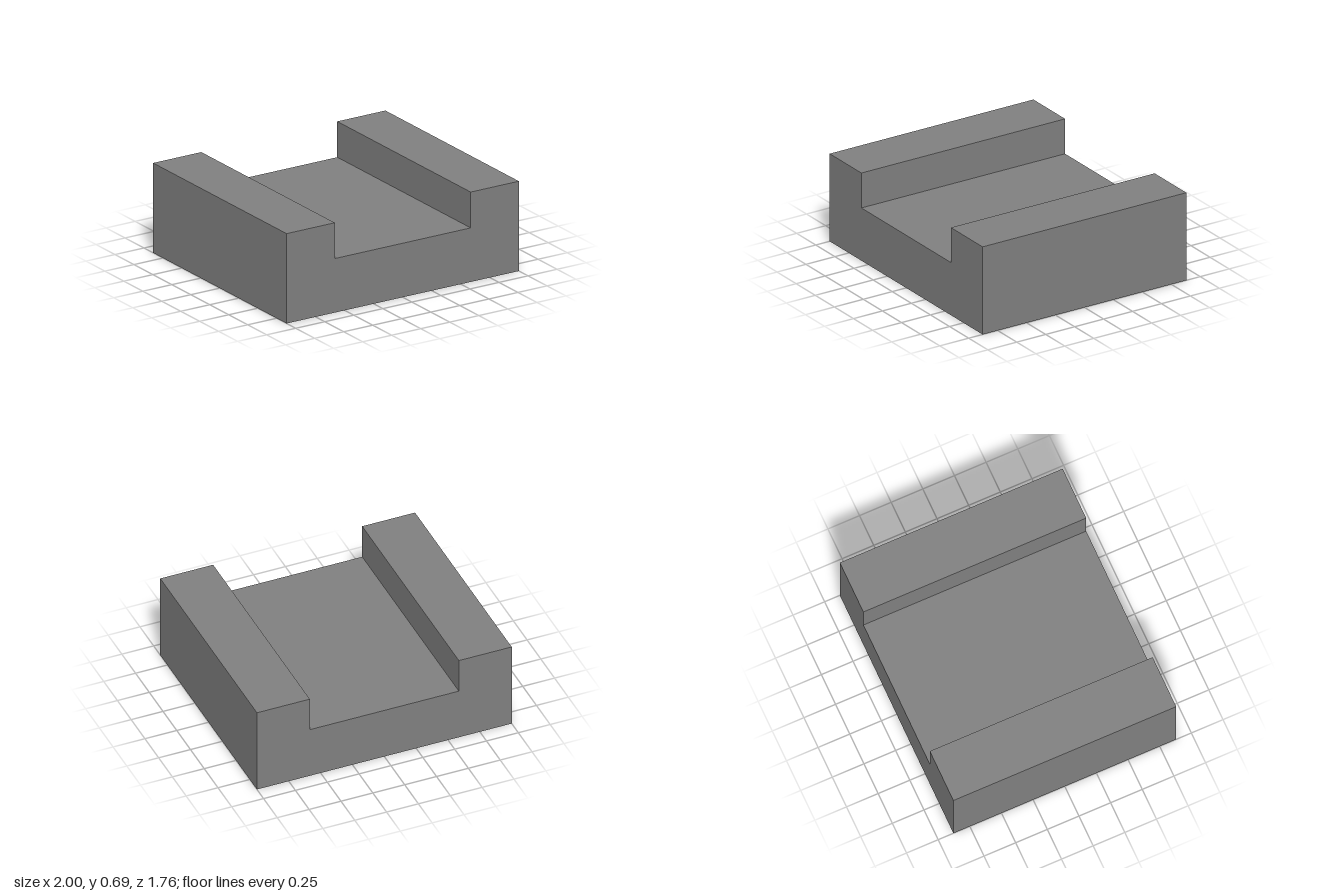
import * as THREE from 'three';

// Overall size, and the channel cut along z
const HALF_WIDTH = 1, HEIGHT = 0.69, DEPTH = 1.76;
const CHANNEL_HALF = 0.585, FLOOR = 0.415;

export function createModel() {
  const grey = new THREE.MeshStandardMaterial({ color: 0x808080 });
  grey.name = 'grey';

  // U-shaped cross-section, counter-clockwise from the bottom left
  const profile = new THREE.Shape([
    [-HALF_WIDTH, 0], [HALF_WIDTH, 0],
    [HALF_WIDTH, HEIGHT], [CHANNEL_HALF, HEIGHT],
    [CHANNEL_HALF, FLOOR], [-CHANNEL_HALF, FLOOR],
    [-CHANNEL_HALF, HEIGHT], [-HALF_WIDTH, HEIGHT],
  ].map(([x, y]) => new THREE.Vector2(x, y)));

  // Solid block with the channel, centred on z
  const geometry = new THREE.ExtrudeGeometry(profile, { depth: DEPTH, bevelEnabled: false });
  geometry.translate(0, 0, -DEPTH / 2);

  const block = new THREE.Mesh(geometry, grey);
  block.name = 'channelBlock';

  const model = new THREE.Group();
  model.name = 'channelledBlock';
  model.add(block);
  return model;
}
